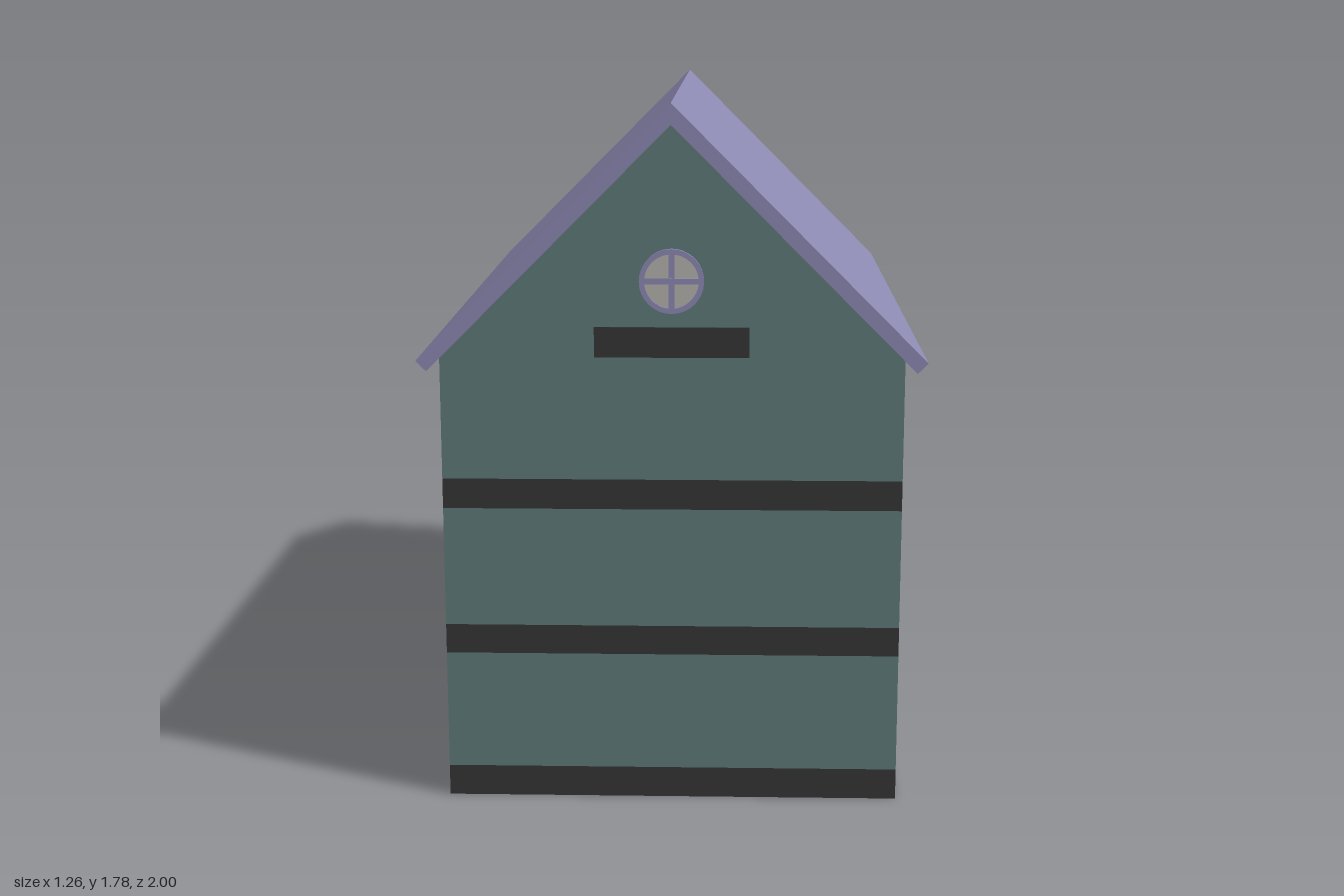
import * as THREE from 'three';

const mat = (color) => new THREE.MeshStandardMaterial({ color });
const wallMat = mat(0x5e7b79);
const bandMat = mat(0x353535);
const roofMat = mat(0x8c89b2);
const glassMat = mat(0xb5b2ae);

const HALF_W = 0.577, HALF_D = 0.96;

function add(parent, name, geometry, material, x = 0, y = 0, z = 0) {
  const mesh = new THREE.Mesh(geometry, material);
  mesh.name = name;
  mesh.position.set(x, y, z);
  parent.add(mesh);
  return mesh;
}

const box = (parent, name, material, w, h, d, x, y, z) =>
  add(parent, name, new THREE.BoxGeometry(w, h, d), material, x, y, z);

// Prism along z from an outline in x and y
function prism(points, depth) {
  const shape = new THREE.Shape(points.map(([x, y]) => new THREE.Vector2(x, y)));
  return new THREE.ExtrudeGeometry(shape, { depth, bevelEnabled: false }).translate(0, 0, -depth / 2);
}

// Rectangular window, built facing +z on the plane z = 0, origin at its middle
function makeWindow(name, w, h, { upright = true, barY = 0, sill = true } = {}) {
  const g = new THREE.Group();
  g.name = name;
  const t = 0.015, depth = 0.01, z = depth / 2;
  box(g, 'glass', glassMat, w - t, h - 0.002, 0.004, 0, 0, 0.002);
  for (const s of [-1, 1]) box(g, 'frameSide', roofMat, t, h, depth, s * (w - t) / 2, 0, z);
  box(g, 'frameTop', roofMat, w - 2 * t, t, depth, 0, (h - t) / 2, z);
  if (sill) box(g, 'frameSill', roofMat, w - 2 * t, t, depth, 0, -(h - t) / 2, z);
  box(g, 'crossBar', roofMat, w - 2 * t, 0.012, 0.008, 0, barY, 0.004);
  if (upright) box(g, 'uprightBar', roofMat, 0.012, h - t, 0.0078, 0, -t / 2 + (sill ? t / 2 : 0), 0.0039);
  return g;
}

// Round gable window with a ring frame and a cross
function makeRoundWindow() {
  const g = new THREE.Group();
  g.name = 'roundWindow';
  const ring = new THREE.Shape().absarc(0, 0, 0.08, 0, Math.PI * 2);
  ring.holes.push(new THREE.Path().absarc(0, 0, 0.067, 0, Math.PI * 2, true));
  add(g, 'roundFrame', new THREE.ExtrudeGeometry(ring, { depth: 0.01, bevelEnabled: false, curveSegments: 32 }), roofMat);
  add(g, 'roundGlass', new THREE.CylinderGeometry(0.07, 0.07, 0.004, 32).rotateX(Math.PI / 2), glassMat, 0, 0, 0.002);
  box(g, 'crossBar', roofMat, 0.136, 0.014, 0.008, 0, 0, 0.004);
  box(g, 'uprightBar', roofMat, 0.014, 0.136, 0.0078, 0, 0, 0.0039);
  return g;
}

export function createModel() {
  const house = new THREE.Group();
  house.name = 'house';

  // Storeys stacked with flush dark bands
  const bands = [[0, 0.08], [0.387, 0.463], [0.77, 0.847]];
  bands.forEach(([y0, y1], i) => {
    box(house, 'floorBand', bandMat, HALF_W * 2, y1 - y0, HALF_D * 2, 0, (y0 + y1) / 2, 0);
    if (i < 2) {
      const top = bands[i + 1][0];
      box(house, 'storeyWall', wallMat, HALF_W * 2, top - y1, HALF_D * 2, 0, (y1 + top) / 2, 0);
    }
  });

  // Top storey with gables
  add(house, 'gableStorey', prism([
    [-HALF_W, 0.847], [HALF_W, 0.847], [HALF_W, 1.733 - HALF_W], [0, 1.733], [-HALF_W, 1.733 - HALF_W],
  ], HALF_D * 2), wallMat);

  // Roof slabs meeting at the ridge
  add(house, 'roof', prism([
    [0, 1.785], [-0.63, 1.155], [-0.604, 1.129], [0, 1.733], [0.604, 1.129], [0.63, 1.155],
  ], 2), roofMat);

  // Both gables carry a round window and a dark plank
  for (const side of [1, -1]) {
    const gable = new THREE.Group();
    gable.name = side > 0 ? 'frontGable' : 'backGable';
    gable.rotation.y = side > 0 ? 0 : Math.PI;
    gable.position.z = side * HALF_D;
    const round = makeRoundWindow();
    round.position.y = 1.35;
    gable.add(round);
    box(gable, 'gablePlank', bandMat, 0.384, 0.076, 0.004, 0, 1.197, 0.001);
    house.add(gable);
  }

  // Back face with three rows of windows and a double door
  const back = new THREE.Group();
  back.name = 'backOpenings';
  back.rotation.y = Math.PI;
  back.position.z = -HALF_D;
  for (let row = 0; row < 3; row++) {
    const y = 0.195 + row * 0.384;
    for (const s of [-1, 1]) {
      const win = makeWindow('sideWindow', 0.235, 0.212);
      win.position.set(s * 0.385, y, 0);
      back.add(win);
    }
    if (row > 0) {
      const narrow = makeWindow('narrowWindow', 0.12, 0.212, { upright: false });
      narrow.position.y = y;
      back.add(narrow);
    }
  }
  const door = makeWindow('doubleDoor', 0.235, 0.3, { barY: 0.075, sill: false });
  door.position.y = 0.15;
  back.add(door);
  house.add(back);

  return house;
}
